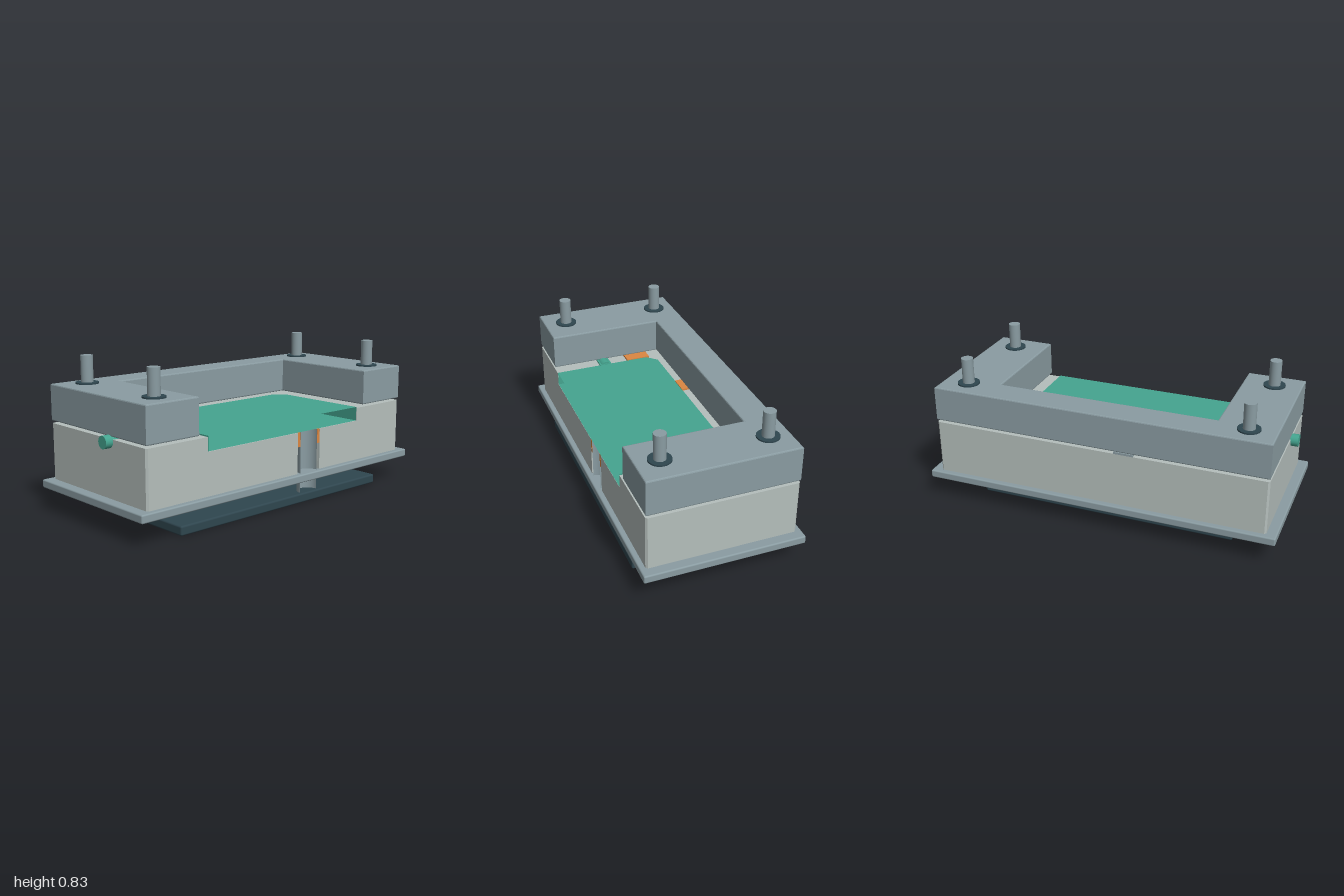
import * as THREE from 'three';
import { RoundedBoxGeometry } from 'three/addons/geometries/RoundedBoxGeometry.js';

const mat = (color, side = THREE.FrontSide) => new THREE.MeshStandardMaterial({ color, side });

export function createModel() {
  const model = new THREE.Group();
  const steel = mat(0x8a9ca2), pale = mat(0xb5bfbc), dark = mat(0x2f464f);
  const green = mat(0x45a590), orange = mat(0xdc8742);
  const steelThin = mat(0x8a9ca2, THREE.DoubleSide), greenThin = mat(0x45a590, THREE.DoubleSide);

  const add = (name, geometry, material, x = 0, y = 0, z = 0) => {
    const mesh = new THREE.Mesh(geometry, material);
    mesh.name = name;
    mesh.position.set(x, y, z);
    model.add(mesh);
    return mesh;
  };
  // Box given by its limits on each axis
  const box = (name, material, [x0, x1], [y0, y1], [z0, z1], r = 0) => {
    const s = [x1 - x0, y1 - y0, z1 - z0];
    const geo = r ? new RoundedBoxGeometry(...s, 3, r) : new THREE.BoxGeometry(...s);
    return add(name, geo, material, (x0 + x1) / 2, (y0 + y1) / 2, (z0 + z1) / 2);
  };
  // Plan outline of [x, z] points
  const plan = (pts) => new THREE.Shape(pts.map(([x, z]) => new THREE.Vector2(x, -z)));
  // Plan outline raised from y0 to y1, with an optional small bevel
  const slab = (name, material, pts, y0, y1, bevel = 0) => {
    const geo = new THREE.ExtrudeGeometry(plan(pts), {
      depth: y1 - y0 - 2 * bevel, bevelEnabled: bevel > 0, bevelSize: bevel,
      bevelThickness: bevel, bevelOffset: -bevel, bevelSegments: 2,
    });
    geo.rotateX(-Math.PI / 2);
    return add(name, geo, material, 0, y0 + bevel, 0);
  };
  // Half circle in plan, opening to the front cut face
  const cutX = 0.167, front = 0.41;
  const halfCircle = (r, n = 20) => Array.from({ length: n + 1 }, (_, i) => {
    const a = Math.PI * (1 - i / n);
    return [cutX + r * Math.cos(a), front - r * Math.sin(a)];
  });
  // Pocket outline from front left, round the chamfered back, to front right
  const pocket = (w, back, c) => [
    [-w, front], [-w, back + c], [-w + c, back], [w - c, back], [w, back + c], [w, front],
  ];
  const W = 0.945, b = 0.01;
  const rearCorners = [[W, front - b], [W, -0.41 + b], [W - b, -0.41], [-W + b, -0.41], [-W, -0.41 + b], [-W, front - b]];
  const ends = (notch) => [[-W + b, front], ...notch, [W - b, front], ...rearCorners];

  // Bottom pad and base plate
  box('bottomPad', dark, [-0.74, 0.74], [0, 0.052], [-0.28, 0.41], 0.01);
  box('basePlate', steel, [-1, 1], [0.125, 0.17], [-0.44, 0.44], 0.008);

  // Lower block with a cut bore below and a pocket above
  slab('lowerBlockBody', pale, ends(halfCircle(0.087)), 0.17, 0.4);
  slab('lowerBlockRim', pale, ends(pocket(0.565, -0.21, 0.055)), 0.4, 0.475);

  // Upper clamp frame, open to the front
  slab('upperFrame', steel, [
    [-W, -0.41], [W, -0.41], [W, 0.41], [0.62, 0.41], [0.62, -0.24],
    [-0.62, -0.24], [-0.62, 0.41], [-W, 0.41],
  ], 0.487, 0.685, 0.007);

  // Hollow insert, open at the front cut
  const outline = pocket(0.562, -0.207, 0.055);
  const lo = 0.402, hi = 0.481;
  for (const [name, y] of [['insertTop', hi], ['insertFloor', lo]]) {
    add(name, new THREE.ShapeGeometry(plan(outline)).rotateX(-Math.PI / 2), greenThin, 0, y, 0);
  }
  const pos = [];
  for (let i = 0; i < outline.length - 1; i++) {
    const [ax, az] = outline[i], [bx, bz] = outline[i + 1];
    pos.push(ax, lo, az, ax, hi, az, bx, hi, bz, ax, lo, az, bx, hi, bz, bx, lo, bz);
  }
  const walls = new THREE.BufferGeometry();
  walls.setAttribute('position', new THREE.Float32BufferAttribute(pos, 3));
  walls.computeVertexNormals();
  add('insertWalls', walls, greenThin);

  // Feed tube and its thin gate on the right side
  const tube = add('feedTube', new THREE.CylinderGeometry(0.034, 0.034, 0.42, 16), green, -0.775, 0.462, 0.11);
  tube.rotation.z = Math.PI / 2;
  box('feedGate', green, [-0.64, -0.56], [0.45, 0.484], [0.075, 0.145]);

  // Vent strips in the parting gap
  box('sideVent', orange, [-0.72, -0.563], [0.465, 0.485], [-0.17, -0.03]);
  box('rearVent', orange, [-0.22, -0.11], [0.465, 0.485], [-0.3, -0.205]);
  box('rearVentOutlet', steel, [-0.22, -0.11], [0.476, 0.488], [-0.413, -0.3]);

  // Guide pins with collars and gap shims
  for (const x of [-0.795, 0.795]) {
    for (const z of [-0.29, 0.282]) {
      add('guidePin', new THREE.CylinderGeometry(0.033, 0.033, 0.37, 28), steel, x, 0.65, z);
      add('pinCollar', new THREE.CylinderGeometry(0.061, 0.061, 0.012, 32), dark, x, 0.687, z);
      add('pinShim', new THREE.CylinderGeometry(0.06, 0.06, 0.014, 32), orange, x, 0.481, z);
    }
  }

  // Cut ejector sleeve and its seal, flush with the front
  add('cutSleeve', new THREE.CylinderGeometry(0.065, 0.065, 0.34, 24, 1, true, Math.PI / 2, Math.PI),
    steelThin, cutX, 0.23, front);
  slab('cutSeal', orange, [...halfCircle(0.086), ...halfCircle(0.067).reverse()], 0.32, 0.4);

  // Full ejector post under the base plate
  add('ejectorPost', new THREE.CylinderGeometry(0.065, 0.065, 0.07, 32), steel, -0.3, 0.095, -0.012);

  return model;
}
